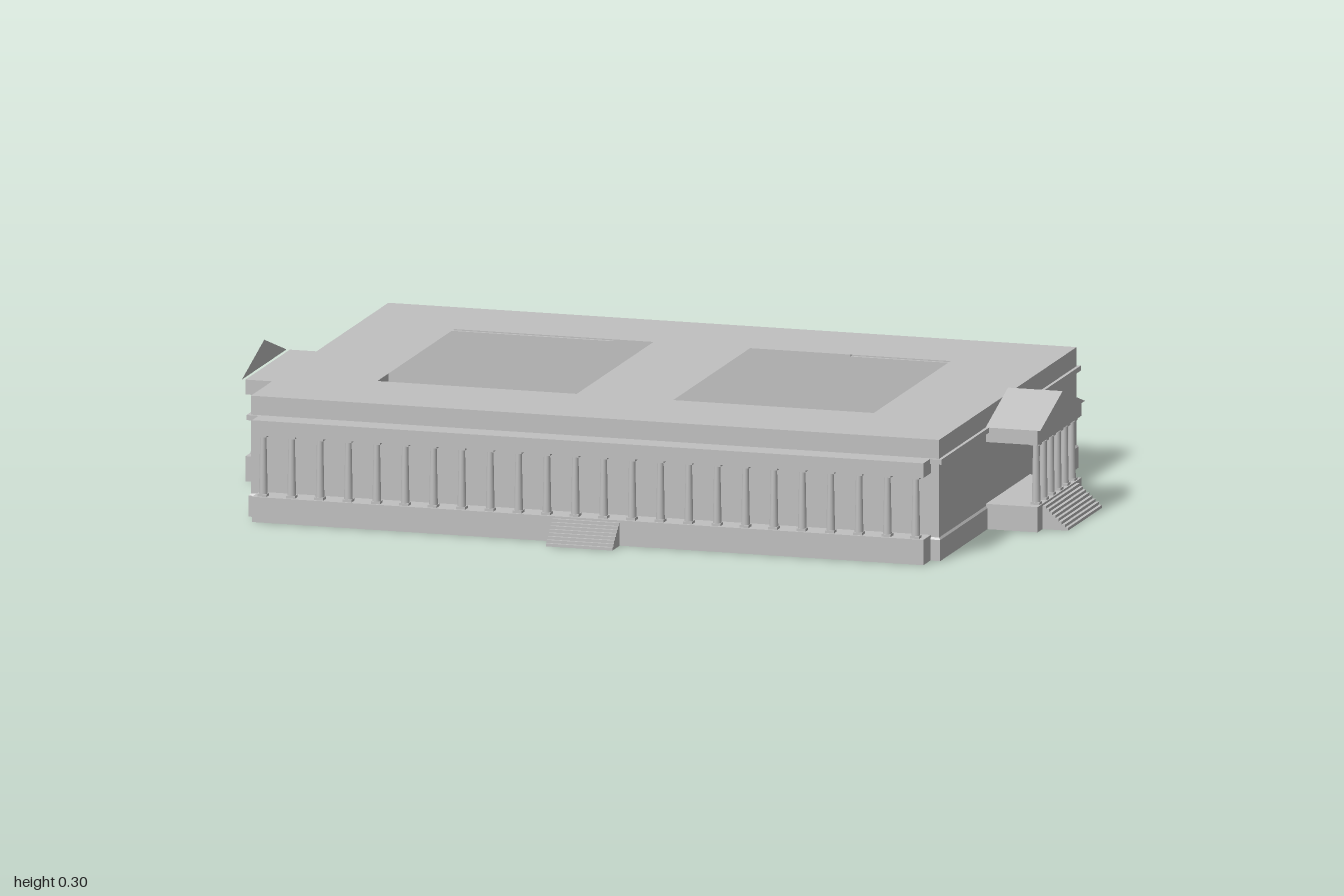
import * as THREE from 'three';

export function createModel() {
  const model = new THREE.Group();
  const stone = new THREE.MeshStandardMaterial({ color: 0xc0c0c0, side: THREE.DoubleSide });
  stone.name = 'pale grey stone';

  const add = (name, geometry, parent = model) => {
    const mesh = new THREE.Mesh(geometry, stone);
    mesh.name = name;
    parent.add(mesh);
    return mesh;
  };
  const group = (name) => {
    const g = new THREE.Group();
    g.name = name;
    model.add(g);
    return g;
  };
  // Box given by its limits on each axis
  const box = (name, x0, x1, y0, y1, z0, z1, parent) =>
    add(name, new THREE.BoxGeometry(x1 - x0, y1 - y0, z1 - z0), parent)
      .position.set((x0 + x1) / 2, (y0 + y1) / 2, (z0 + z1) / 2);

  const BASE = 0.06, BEAM = 0.207, LEDGE = 0.242, TOP = 0.287;
  const X0 = -0.863, X1 = 0.812, Z0 = -0.573, Z1 = 0.511;

  // Outer walls: rectangular rings of [outset, height], open below
  const profile = [[0.004, 0], [0.004, 0.05], [0, 0.055], [0, 0.23], [0.008, 0.23],
    [0.008, LEDGE], [0, LEDGE], [0, TOP]];
  const corner = (i, [o, y]) => [
    [X0 - o, y, Z1 + o], [X1 + o, y, Z1 + o], [X1 + o, y, Z0 - o], [X0 - o, y, Z0 - o]][i % 4];
  const points = [];
  for (let k = 0; k < profile.length - 1; k++) {
    for (let i = 0; i < 4; i++) {
      const a = corner(i, profile[k]), b = corner(i + 1, profile[k]);
      const c = corner(i + 1, profile[k + 1]), d = corner(i, profile[k + 1]);
      points.push(...a, ...b, ...c, ...a, ...c, ...d);
    }
  }
  const walls = new THREE.BufferGeometry();
  walls.setAttribute('position', new THREE.Float32BufferAttribute(points, 3));
  walls.computeVertexNormals();
  add('outerWalls', walls);

  // Roof with two courtyard openings
  const rect = (path, x0, x1, z0, z1) => path.moveTo(x0, -z1).lineTo(x1, -z1)
    .lineTo(x1, -z0).lineTo(x0, -z0).closePath();
  const roofShape = rect(new THREE.Shape(), X0, X1, Z0, Z1);
  const courts = [[-0.63, -0.145], [0.09, 0.578]], CZ0 = -0.338, CZ1 = 0.268;
  courts.forEach(([a, b]) => roofShape.holes.push(rect(new THREE.Path(), a, b, CZ0, CZ1)));
  add('roof', new THREE.ShapeGeometry(roofShape).rotateX(-Math.PI / 2)).position.y = TOP;

  // Courtyard floors and two rows of window plates round each court
  const pane = new THREE.PlaneGeometry(0.022, 0.048);
  courts.forEach(([a, b]) => {
    const court = group('courtyard');
    const floor = add('courtyardFloor',
      new THREE.PlaneGeometry(b - a, CZ1 - CZ0).rotateX(-Math.PI / 2), court);
    floor.position.set((a + b) / 2, 0.002, (CZ0 + CZ1) / 2);
    for (const y of [0.048, 0.125]) {
      for (let i = 0; i < 6; i++) {
        const t = (i + 0.5) / 6;
        for (const z of [CZ0, CZ1]) {
          const w = add('courtyardWindow', pane, court);
          w.position.set(a + (b - a) * t, y, z);
          w.rotation.y = z === CZ0 ? 0 : Math.PI;
        }
        for (const x of [a, b]) {
          const w = add('courtyardWindow', pane, court);
          w.position.set(x, y, CZ0 + (CZ1 - CZ0) * t);
          w.rotation.y = x === a ? Math.PI / 2 : -Math.PI / 2;
        }
      }
    }
  });

  // Tapered round columns with small square caps and bases, in a straight row
  const H = BEAM - BASE;
  const shaft = new THREE.CylinderGeometry(0.0075, 0.0105, H, 12);
  const block = new THREE.BoxGeometry(0.022, 0.006, 0.022);
  const columns = (parent, count, xa, za, xb, zb) => {
    for (let i = 0; i < count; i++) {
      const t = i / (count - 1), x = xa + (xb - xa) * t, z = za + (zb - za) * t;
      add('column', shaft, parent).position.set(x, BASE + H / 2, z);
      add('columnBase', block, parent).position.set(x, BASE + 0.003, z);
      add('columnCapital', block, parent).position.set(x, BEAM - 0.003, z);
    }
  };
  const porch = (name, x0, x1, z0, z1) => {
    const g = group(name);
    box('platform', x0, x1, 0, BASE, z0, z1, g);
    box('entablature', x0, x1, BEAM, LEDGE, z0, z1, g);
    return g;
  };

  // Steps descending along +z, with the given width across x
  const steps = (width, run, rise, n) => {
    const s = new THREE.Shape();
    s.moveTo(0, 0).lineTo(0, rise);
    for (let i = 0; i < n; i++) {
      s.lineTo(run * (i + 1) / n, rise * (1 - i / n));
      s.lineTo(run * (i + 1) / n, rise * (1 - (i + 1) / n));
    }
    return new THREE.ExtrudeGeometry(s, { depth: width, bevelEnabled: false })
      .translate(0, 0, -width / 2).rotateY(-Math.PI / 2);
  };

  // Long front colonnade with central steps
  const front = porch('frontColonnade', -0.842, 0.792, Z1, 0.57);
  columns(front, 24, -0.82, 0.552, 0.768, 0.552);
  add('frontSteps', steps(0.162, 0.058, 0.055, 8), front).position.set(-0.028, 0, 0.57);

  // Back porch
  const back = porch('backPorch', -0.315, 0.262, -0.628, Z0);
  columns(back, 8, -0.295, -0.61, 0.242, -0.61);

  // Gable outline with its base at y = 0, drawn across z
  const gable = new THREE.Shape();
  gable.moveTo(-0.176, 0).lineTo(0.176, 0).lineTo(0, 0.059).closePath();

  // Left porch, with an upright gable plate
  const left = porch('leftPorch', -0.99, X0, -0.208, 0.142);
  columns(left, 6, -0.975, -0.172, -0.975, 0.105);
  add('leftPediment', new THREE.ShapeGeometry(gable).rotateY(-Math.PI / 2), left)
    .position.set(-0.998, LEDGE, -0.032);

  // Right porch, with gabled roof and steps
  const right = porch('rightPorch', X1, 0.938, -0.204, 0.142);
  columns(right, 6, 0.924, -0.17, 0.924, 0.108);
  const gableRoof = new THREE.ExtrudeGeometry(gable, { depth: 0.133, bevelEnabled: false });
  add('rightGableRoof', gableRoof.rotateY(Math.PI / 2), right).position.set(X1, LEDGE, -0.032);
  add('rightSteps', steps(0.268, 0.062, 0.055, 8).rotateY(Math.PI / 2), right)
    .position.set(0.938, 0, -0.031);

  return model;
}
